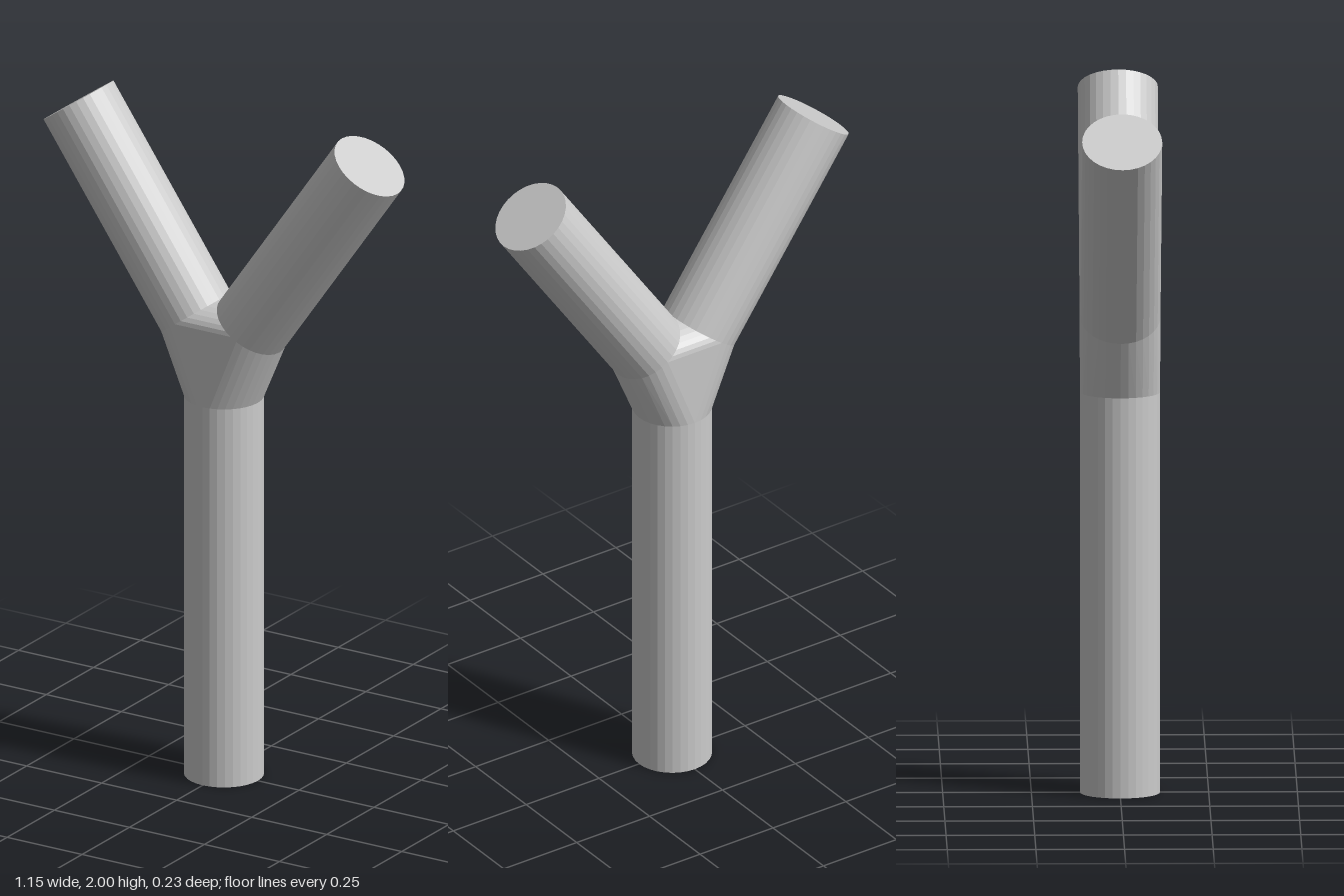
import * as THREE from 'three';
import { ConvexGeometry } from 'three/addons/geometries/ConvexGeometry.js';

const R = 0.113, SIDES = 32;
const TRUNK = 1.143, BRANCH = 0.684, TILT = THREE.MathUtils.degToRad(35);
const BASE_Y = 1.375, BASE_X = R * Math.cos(TILT); // branch bases touch at x = 0

const material = new THREE.MeshStandardMaterial({ color: 0xcccccc, flatShading: true });

function addMesh(group, name, geometry) {
  const mesh = new THREE.Mesh(geometry, material);
  mesh.name = name;
  group.add(mesh);
  return mesh;
}

// Ring of points around a centre, leaning sideways by the tilt angle
function ring(x, y, tilt) {
  return Array.from({ length: SIDES }, (_, i) => {
    const a = (i / SIDES) * Math.PI * 2, u = R * Math.cos(a);
    return new THREE.Vector3(x + u * Math.cos(tilt), y - u * Math.sin(tilt), R * Math.sin(a));
  });
}

export function createModel() {
  const group = new THREE.Group();
  group.name = 'forkedPost';

  // Upright trunk
  addMesh(group, 'trunk', new THREE.CylinderGeometry(R, R, TRUNK, SIDES)).position.y = TRUNK / 2;

  // Two mirrored branches
  for (const side of [1, -1]) {
    const geometry = new THREE.CylinderGeometry(R, R, BRANCH, SIDES);
    geometry.translate(0, BRANCH / 2, 0);
    const branch = addMesh(group, side > 0 ? 'leftBranch' : 'rightBranch', geometry);
    branch.position.set(side * BASE_X, BASE_Y, 0);
    branch.rotation.z = -side * TILT;
  }

  // Junction: hull wrapped around the three pipe ends
  addMesh(group, 'junction', new ConvexGeometry([
    ...ring(0, TRUNK, 0),
    ...ring(BASE_X, BASE_Y, TILT),
    ...ring(-BASE_X, BASE_Y, -TILT),
  ]));

  return group;
}
